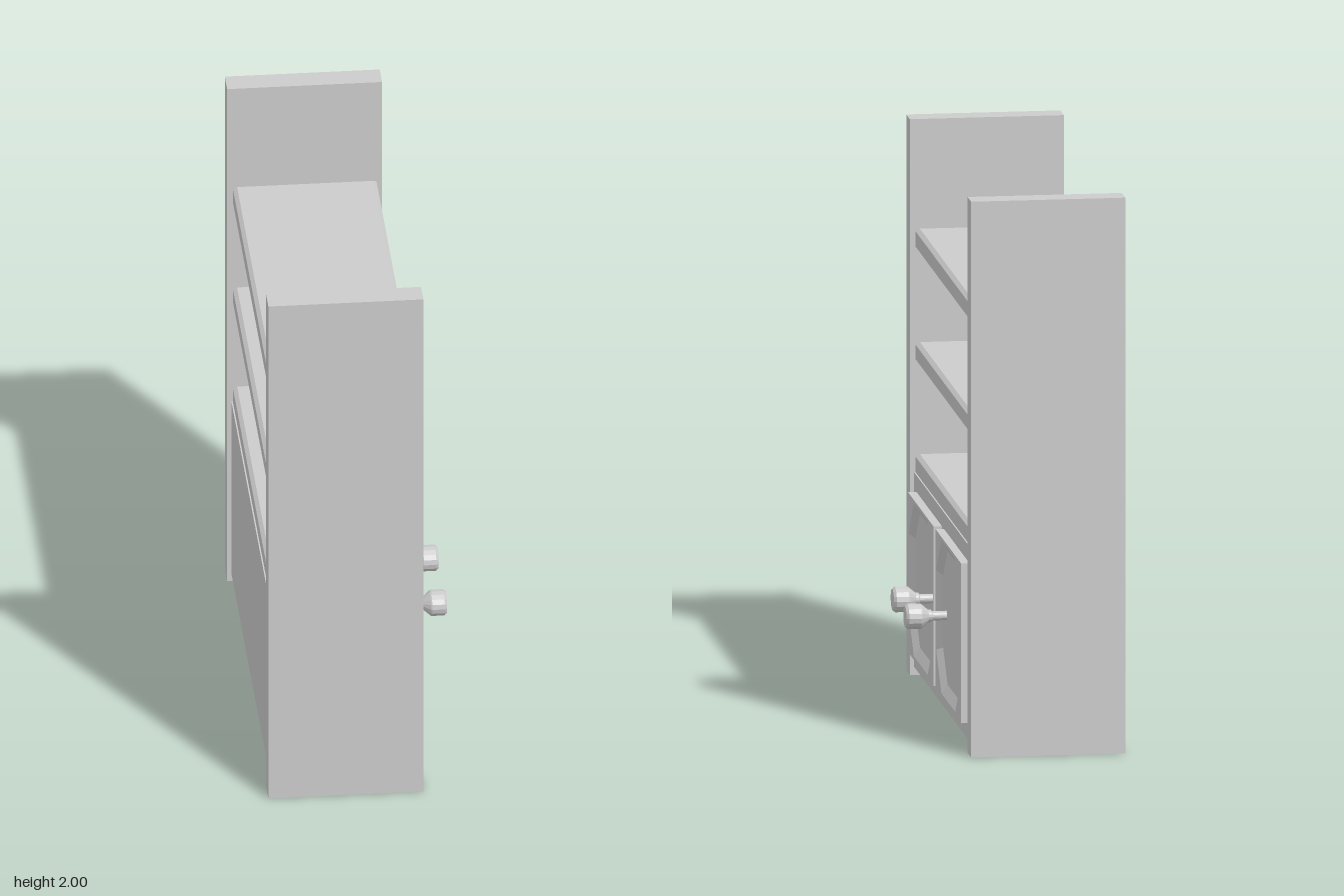
import * as THREE from 'three';

const material = new THREE.MeshStandardMaterial({ color: 0xcccccc, flatShading: true });

function add(parent, name, geometry, x = 0, y = 0, z = 0) {
  const mesh = new THREE.Mesh(geometry, material);
  mesh.name = name;
  mesh.position.set(x, y, z);
  parent.add(mesh);
  return mesh;
}

// Board whose upper edges are chamfered
function shelfGeometry(w, h, d, inset, drop) {
  const g = new THREE.BoxGeometry(w, h, d, 1, 2, 1);
  const p = g.attributes.position;
  for (let i = 0; i < p.count; i++) {
    const y = p.getY(i);
    if (y > h / 4) {
      p.setX(i, p.getX(i) - Math.sign(p.getX(i)) * inset);
      p.setZ(i, p.getZ(i) - Math.sign(p.getZ(i)) * inset);
    } else if (y > -h / 4) {
      p.setY(i, h / 2 - drop);
    }
  }
  g.computeVertexNormals();
  return g;
}

// Rectangle with cut corners, counter-clockwise
function octagon(w, h, cut) {
  const a = w / 2, b = h / 2;
  return [[a, -b + cut], [a, b - cut], [a - cut, b], [-a + cut, b],
    [-a, b - cut], [-a, -b + cut], [-a + cut, -b], [a - cut, -b]]
    .map(([x, y]) => new THREE.Vector2(x, y));
}

// Sloping band from an outer loop at the front to an inner loop at the back
function bandGeometry(outer, inner, depth) {
  const pos = [], n = outer.length;
  for (let i = 0; i < n; i++) {
    const j = (i + 1) % n;
    const A = [outer[i].x, outer[i].y, depth], B = [outer[j].x, outer[j].y, depth];
    const C = [inner[j].x, inner[j].y, 0], D = [inner[i].x, inner[i].y, 0];
    pos.push(...A, ...B, ...C, ...A, ...C, ...D);
  }
  const g = new THREE.BufferGeometry();
  g.setAttribute('position', new THREE.Float32BufferAttribute(pos, 3));
  g.computeVertexNormals();
  return g;
}

// Door with a sunken octagonal panel, built facing +z
function makeDoor(name) {
  const door = new THREE.Group();
  door.name = name;
  const w = 0.65, h = 0.575, depth = 0.02;
  const outer = octagon(0.615, 0.55, 0.132), inner = octagon(0.545, 0.482, 0.112);

  const frame = new THREE.Shape([
    new THREE.Vector2(-w / 2, -h / 2), new THREE.Vector2(w / 2, -h / 2),
    new THREE.Vector2(w / 2, h / 2), new THREE.Vector2(-w / 2, h / 2)]);
  frame.holes.push(new THREE.Path(outer.slice().reverse()));
  add(door, 'doorFrame', new THREE.ExtrudeGeometry(frame, { depth, bevelEnabled: false }));
  add(door, 'doorBevel', bandGeometry(outer, inner, depth));
  add(door, 'doorPanel', new THREE.BoxGeometry(w, h, 0.012), 0, 0, -0.006);
  return door;
}

// Turned knob, slightly wider than tall, pointing along +x
function knobGeometry() {
  const profile = [[0, 0], [0.019, 0], [0.019, 0.052], [0.026, 0.055], [0.026, 0.066],
    [0.049, 0.09], [0.052, 0.095], [0.052, 0.139], [0.043, 0.148], [0, 0.148]];
  const g = new THREE.LatheGeometry(profile.map(([r, y]) => new THREE.Vector2(r, y)), 16);
  g.rotateZ(-Math.PI / 2);
  g.scale(1, 0.88, 1);
  return g;
}

export function createModel() {
  const group = new THREE.Group();
  group.name = 'shelfCabinet';

  // Tall side panels
  for (const s of [1, -1]) {
    add(group, s > 0 ? 'leftSidePanel' : 'rightSidePanel',
      new THREE.BoxGeometry(0.55, 2, 0.09), -0.075, 1, s * 0.78);
  }

  // Closed cupboard body
  add(group, 'cupboardBody', new THREE.BoxGeometry(0.52, 0.7, 1.47), -0.075, 0.38, 0);

  // Cupboard top and two open shelves
  [['cupboardTop', 0.73, 0.797], ['lowerShelf', 1.137, 1.2], ['upperShelf', 1.542, 1.608]]
    .forEach(([name, y0, y1]) => {
      add(group, name, shelfGeometry(0.51, y1 - y0, 1.47, 0.014, 0.011), -0.075, (y0 + y1) / 2, 0);
    });

  // Pair of doors with knobs near the middle
  for (const s of [1, -1]) {
    const side = s > 0 ? 'left' : 'right';
    const door = makeDoor(side + 'Door');
    door.rotation.y = Math.PI / 2;
    door.position.set(0.195, 0.383, s * 0.35);
    group.add(door);
    add(group, side + 'Knob', knobGeometry(), 0.195, 0.385, s * 0.16);
  }

  return group;
}
